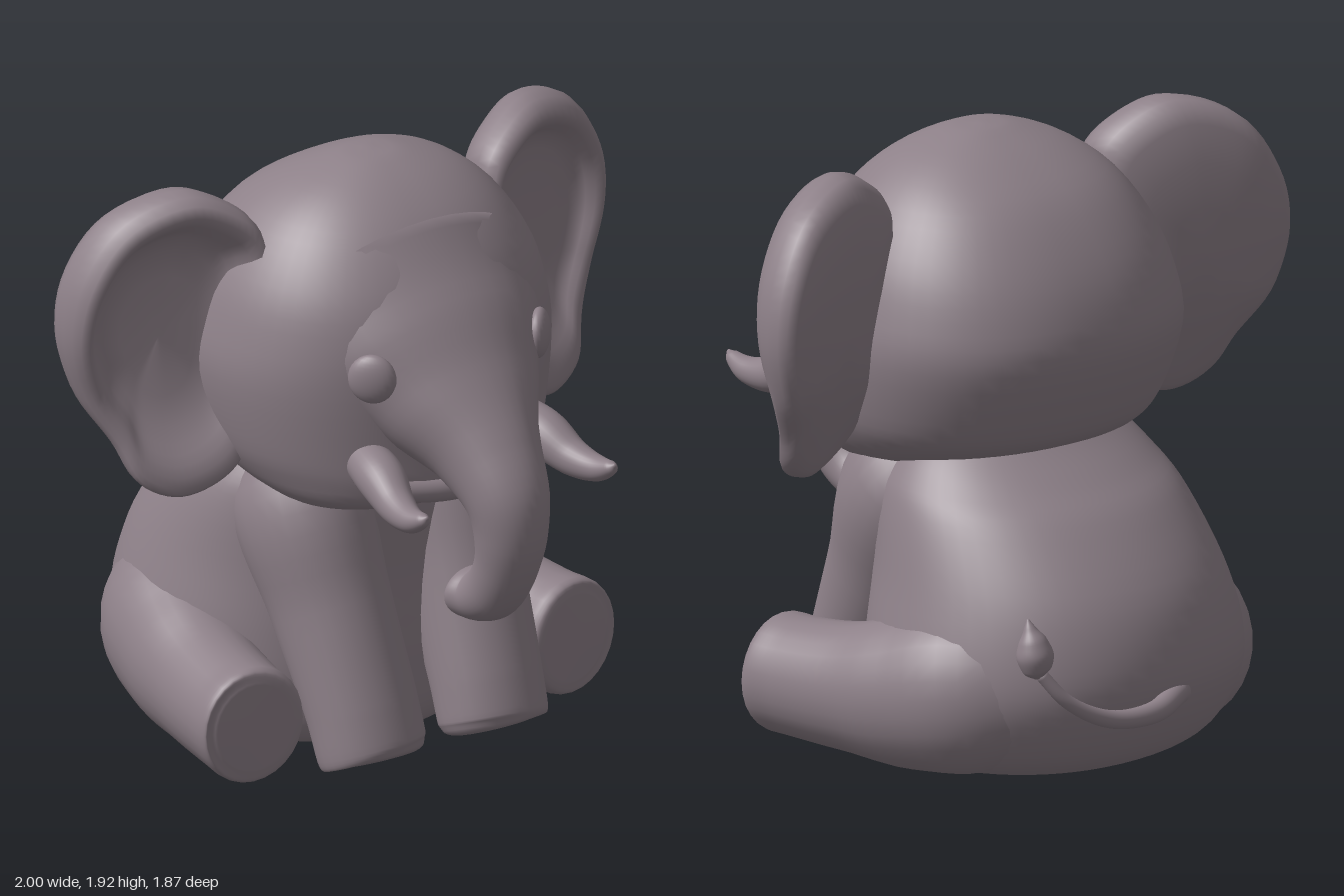
import * as THREE from 'three';

const V = (x, y, z) => new THREE.Vector3(x, y, z);

// Closed smooth skin over rings of points, capped at both ends
function skin(rings) {
  const n = rings[0].length, m = rings.length, pos = [], idx = [];
  rings.forEach(r => r.forEach(p => pos.push(p.x, p.y, p.z)));
  for (const r of [rings[0], rings[m - 1]]) {
    const c = V(0, 0, 0);
    r.forEach(p => c.addScaledVector(p, 1 / n));
    pos.push(c.x, c.y, c.z);
  }
  for (let j = 0; j < n; j++) {
    const k = (j + 1) % n, e = (m - 1) * n;
    for (let i = 0; i < m - 1; i++) {
      const a = i * n + j, b = i * n + k;
      idx.push(a, b, a + n, b, b + n, a + n);
    }
    idx.push(m * n, k, j, m * n + 1, e + j, e + k);
  }
  const g = new THREE.BufferGeometry();
  g.setAttribute('position', new THREE.Float32BufferAttribute(pos, 3));
  g.setIndex(idx);
  g.computeVertexNormals();
  return g;
}

// Limb along a path; rows are [x, y, z, radius along ref, radius across]
function limb(rows, side = 1, ref = V(1, 0, 0), steps = 32, n = 28) {
  const path = new THREE.CatmullRomCurve3(rows.map(r => V(r[0] * side, r[1], r[2])));
  const size = new THREE.CatmullRomCurve3(rows.map(r => V(r[3], r[4] ?? r[3], 0)), false, 'catmullrom', 0.4);
  const rings = [];
  for (let i = 0; i <= steps; i++) {
    const c = path.getPoint(i / steps), t = path.getTangent(i / steps), s = size.getPoint(i / steps);
    const u = ref.clone().addScaledVector(t, -ref.dot(t)).normalize();
    const v = t.clone().cross(u);
    rings.push(Array.from({ length: n }, (_, j) => {
      const a = j / n * Math.PI * 2;
      return c.clone().addScaledVector(u, Math.cos(a) * s.x).addScaledVector(v, Math.sin(a) * s.y);
    }));
  }
  return skin(rings);
}

// Upright rounded mass; rows are [y, half width, front z, back z]; power below 1 squares it off
function mass(rows, power, steps = 40, n = 56) {
  const a = new THREE.CatmullRomCurve3(rows.map(r => V(r[1], r[0], 0)), false, 'catmullrom', 0.5);
  const b = new THREE.CatmullRomCurve3(rows.map(r => V(r[2], r[3], 0)), false, 'catmullrom', 0.5);
  const bend = v => Math.sign(v) * Math.abs(v) ** power;
  const rings = [];
  for (let i = 0; i <= steps; i++) {
    const p = a.getPoint(i / steps), q = b.getPoint(i / steps);
    rings.push(Array.from({ length: n }, (_, j) => {
      const w = j / n * Math.PI * 2;
      return V(bend(Math.sin(w)) * p.x, p.y, (q.x + q.y) / 2 + bend(Math.cos(w)) * (q.x - q.y) / 2);
    }));
  }
  return skin(rings);
}

// Cupped ear: scaled copies of one outline, running from the front over the rim to the back
function ear(side) {
  const outline = [[.42, 1.76], [.52, 1.86], [.65, 1.905], [.85, 1.83], [.97, 1.65], [1, 1.45], [.95, 1.25],
    [.87, 1.1], [.82, .98], [.71, .925], [.6, .95], [.5, 1.03], [.45, 1.2], [.42, 1.5]];
  const pts = new THREE.CatmullRomCurve3(outline.map(p => V(p[0], p[1], 0)), true).getPoints(72).slice(0, 72);
  const mid = V(.7, 1.42, 0);
  const profile = [[.05, -.02], [.4, -.02], [.58, -.015], [.68, 0], [.74, .03], [.8, .07], [.87, .095], [.94, .08],
    [.98, .045], [1, 0], [.985, -.05], [.94, -.085], [.85, -.11], [.6, -.13], [.3, -.135], [.05, -.135]];
  const rings = profile.map(([s, d]) => {
    const ring = pts.map(p => {
      const q = mid.clone().lerp(p, s);
      const rim = THREE.MathUtils.smoothstep(q.y, .95, 1.7);
      const lobe = .1 * (1 - THREE.MathUtils.smoothstep(q.y, .92, 1.3));
      const depth = d > 0 ? d * (.2 + .8 * rim) : d * (.65 + .35 * rim);
      return V(q.x * side, q.y, .045 - .33 * (q.x - .43) + lobe + depth);
    });
    return side > 0 ? ring : ring.reverse();
  });
  return skin(rings);
}

export function createModel() {
  const root = new THREE.Group();
  root.name = 'elephant';
  const hide = new THREE.MeshStandardMaterial({ color: 0x8d8088 });
  hide.name = 'greyHide';
  const add = (name, geometry) => {
    const mesh = new THREE.Mesh(geometry, hide);
    mesh.name = name;
    root.add(mesh);
    return mesh;
  };

  // Pear-shaped seated body
  add('body', mass([[.005, .3, .1, -.5], [.025, .45, .2, -.61], [.1, .55, .25, -.74], [.25, .6, .26, -.83],
    [.4, .59, .26, -.85], [.6, .54, .26, -.79], [.8, .485, .27, -.63], [.9, .435, .25, -.5], [1, .35, .15, -.36],
    [1.1, .2, .05, -.25]], 1));

  // Head, narrowing to the chin and crown
  add('head', mass([[.85, .18, .32, .12], [.88, .35, .42, -.05], [.93, .44, .53, -.2], [1, .5, .56, -.38],
    [1.1, .545, .56, -.46], [1.3, .58, .56, -.53], [1.45, .56, .55, -.51], [1.6, .51, .505, -.44],
    [1.75, .41, .405, -.32], [1.85, .28, .29, -.17], [1.91, .12, .17, -.03], [1.923, .02, .08, .04]], .89));

  // Trunk flaring out of the face and curling back toward the chest
  add('trunk', limb([[0, 1.46, .2, .47, .38], [0, 1.36, .38, .4, .285], [0, 1.24, .55, .28, .205],
    [0, 1.12, .7, .175, .155], [0, 1.01, .795, .135, .13], [0, .9, .815, .115, .115], [0, .78, .79, .1, .1],
    [0, .685, .73, .092, .095], [0, .64, .66, .09, .083], [0, .635, .605, .1, .08],
    [0, .635, .585, .08, .06]], 1, V(1, 0, 0), 56, 36));

  // Lower lip
  add('lip', limb([[-.37, 1.06, .4, .02], [-.25, 1.0, .5, .035], [0, .965, .55, .04], [.25, 1.0, .5, .035],
    [.37, 1.06, .4, .02]], 1, V(0, 1, 0)));

  // Tail with a teardrop tuft
  add('tail', limb([[-.08, .3, -.81, .04], [.08, .28, -.89, .034], [.27, .3, -.91, .028], [.42, .38, -.895, .022],
    [.5, .48, -.855, .02]], 1, V(0, 0, 1)));
  add('tailTuft', limb([[.5, .465, -.855, .015], [.505, .49, -.85, .045], [.51, .535, -.845, .058],
    [.515, .58, -.84, .045], [.52, .62, -.832, .02], [.522, .65, -.825, .004]]));

  for (const side of [1, -1]) {
    const label = side > 0 ? 'left' : 'right';
    add(label + 'Ear', ear(side));

    // Shallow eyes set at an angle on the face
    const eye = add(label + 'Eye', new THREE.SphereGeometry(1, 24, 16));
    eye.scale.set(.076, .08, .036);
    eye.position.set(.312 * side, 1.385, .522);
    eye.rotation.y = .8 * side;

    // Upturned tusks
    add(label + 'Tusk', limb([[.285, 1.09, .44, .07], [.305, 1.065, .56, .076], [.33, 1.02, .68, .058],
      [.348, 1.015, .78, .042], [.352, 1.04, .85, .023], [.352, 1.055, .87, .005]], side));

    // Straight front legs with broad shoulders and tilted soles
    add(label + 'FrontLeg', limb([[.22, .95, -.04, .13, .2], [.26, .8, .07, .21, .235], [.247, .52, .205, .188, .2],
      [.232, .22, .35, .18, .165], [.227, .09, .4, .178, .155], [.225, .066, .41, .165, .138],
      [.225, .058, .413, .12, .1]], side));

    // Hind legs stretched forward from wide hips, with flat soles
    add(label + 'HindLeg', limb([[.25, .33, -.6, .16, .2], [.4, .3, -.4, .23, .265], [.49, .255, -.2, .205, .24],
      [.545, .23, 0, .182, .203], [.582, .22, .2, .177, .19], [.595, .22, .28, .176, .19],
      [.598, .22, .305, .165, .178], [.599, .22, .311, .13, .14]], side));
  }
  return root;
}
